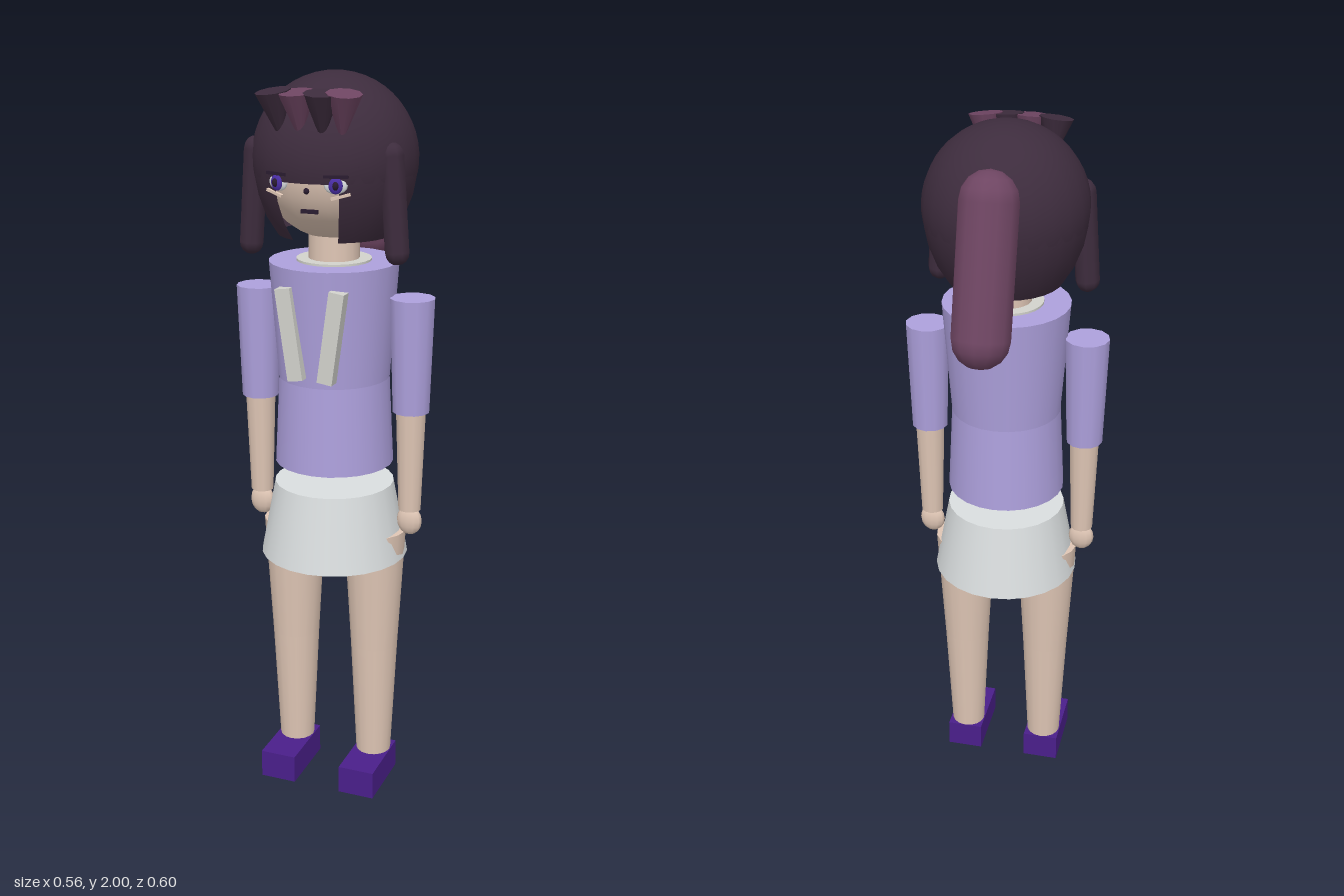
import * as THREE from 'three';

const mat = (name, color) => {
  const m = new THREE.MeshStandardMaterial({ color, side: THREE.DoubleSide });
  m.name = name;
  return m;
};

export function createModel() {
  const model = new THREE.Group();
  model.name = 'girl';
  const skin = mat('skin', 0xdfc6b5);
  const lavender = mat('lavender cloth', 0xada0dc);
  const white = mat('white cloth', 0xdadedf);
  const trim = mat('pale trim', 0xd2d2cc);
  const hair = mat('dark hair', 0x3d2c3d);
  const plum = mat('plum hair', 0x6e4562);
  const shoe = mat('purple shoe', 0x4a1f8a);
  const iris = mat('violet iris', 0x4b2fa8);
  const dark = mat('dark line', 0x2a1c30);

  const Z = 0.07; // depth of the body axis
  const add = (name, geo, material, x, y, z, parent = model) => {
    const m = new THREE.Mesh(geo, material);
    m.name = name;
    m.position.set(x, y, z);
    parent.add(m);
    return m;
  };
  // upright tapered cylinder between two heights
  const taper = (name, material, x, y0, y1, r0, r1, n = 24) =>
    add(name, new THREE.CylinderGeometry(r1, r0, y1 - y0, n), material, x, (y0 + y1) / 2, Z);
  // capsule between two points
  const strand = (name, material, a, b, r, n) => {
    const from = new THREE.Vector3(...a), to = new THREE.Vector3(...b);
    const dir = to.clone().sub(from);
    const m = add(name, new THREE.CapsuleGeometry(r, dir.length(), 4, n), material, 0, 0, 0);
    m.position.copy(from).addScaledVector(dir, 0.5);
    m.quaternion.setFromUnitVectors(new THREE.Vector3(0, 1, 0), dir.normalize());
    return m;
  };

  // torso, collar, neck and skirt
  taper('upperTorso', lavender, 0, 1.2, 1.515, 0.15, 0.173);
  taper('lowerTorso', lavender, 0, 0.96, 1.2, 0.162, 0.15);
  taper('collar', trim, 0, 1.5, 1.521, 0.1, 0.1);
  taper('neck', skin, 0, 1.5, 1.66, 0.068, 0.066, 16);
  taper('skirt', white, 0, 0.692, 0.9, 0.204, 0.164);

  for (const s of [-1, 1]) {
    // arms
    taper('sleeve', lavender, s * 0.22, 1.12, 1.43, 0.05, 0.06, 12);
    taper('forearm', skin, s * 0.22, 0.84, 1.13, 0.031, 0.041, 12);
    add('hand', new THREE.SphereGeometry(1, 12, 8), skin, s * 0.22, 0.807, Z)
      .scale.set(0.036, 0.042, 0.02);

    // legs and shoes
    taper('thigh', skin, s * 0.12, 0.42, 0.77, 0.066, 0.086, 16);
    taper('shin', skin, s * 0.12, 0.07, 0.42, 0.049, 0.066, 16);
    add('shoe', new THREE.BoxGeometry(0.103, 0.08, 0.196), shoe, s * 0.12, 0.04, 0.118);

    // lapel strips on the chest
    add('lapel', new THREE.BoxGeometry(0.042, 0.245, 0.035), trim, s * 0.058, 1.345, 0.229)
      .rotation.z = -s * 0.14;

    // side locks
    strand('sideLock', hair, [s * 0.185, 1.805, 0.147], [s * 0.202, 1.563, 0.147], 0.033, 8);

    // eyes
    const eye = new THREE.Group();
    eye.name = 'eye';
    eye.position.set(s * 0.077, 1.74, 0.252);
    eye.rotation.y = s * 0.3;
    model.add(eye);
    const disc = (name, m, r, h, z) => {
      add(name, new THREE.SphereGeometry(1, 12, 8), m, 0, 0, z, eye).scale.set(r, h, 0.008);
    };
    disc('eyeWhite', white, 0.03, 0.022, 0);
    disc('iris', iris, 0.018, 0.021, 0.006);
    disc('pupil', dark, 0.008, 0.011, 0.012);
    add('upperLash', new THREE.BoxGeometry(0.062, 0.008, 0.009), dark, 0, 0.022, 0.006, eye);
    add('lowerLid', new THREE.BoxGeometry(0.05, 0.007, 0.009), skin, s * 0.012, -0.028, 0, eye)
      .rotation.z = s * 0.25;
  }

  // head and face
  add('head', new THREE.SphereGeometry(1, 24, 18), skin, 0, 1.77, 0.06).scale.set(0.2, 0.2, 0.2);
  add('nose', new THREE.SphereGeometry(0.008, 8, 6), dark, 0, 1.722, 0.256);
  add('mouth', new THREE.BoxGeometry(0.045, 0.01, 0.009), dark, 0, 1.668, 0.235);

  // hair dome, then the lower hair with a gap for the face
  add('hairDome', new THREE.SphereGeometry(0.217, 24, 14, 0, Math.PI * 2, 0, 1.76), hair, 0, 1.783, 0.06);
  const bob = [[0.152, 1.585], [0.18, 1.63], [0.203, 1.69], [0.213, 1.742], [0.215, 1.785]]
    .map(([r, y]) => new THREE.Vector2(r, y));
  add('lowerHair', new THREE.LatheGeometry(bob, 24, 0.42, Math.PI * 2 - 0.84), hair, 0, 0, 0.06);

  // fringe of cones pointing down
  const fringe = [
    [-0.085, 0.237, hair], [-0.022, 0.249, plum], [0.04, 0.25, hair], [0.09, 0.237, plum],
  ];
  for (const [x, z, m] of fringe) {
    const cone = add('fringe', new THREE.ConeGeometry(0.046, 0.125, 10), m, x, 1.9, z);
    cone.rotation.set(Math.PI + 0.15, 0, x * 1.2);
  }

  // ponytail
  strand('ponytail', plum, [0, 1.86, -0.128], [0, 1.537, -0.222], 0.077, 12);

  return model;
}
